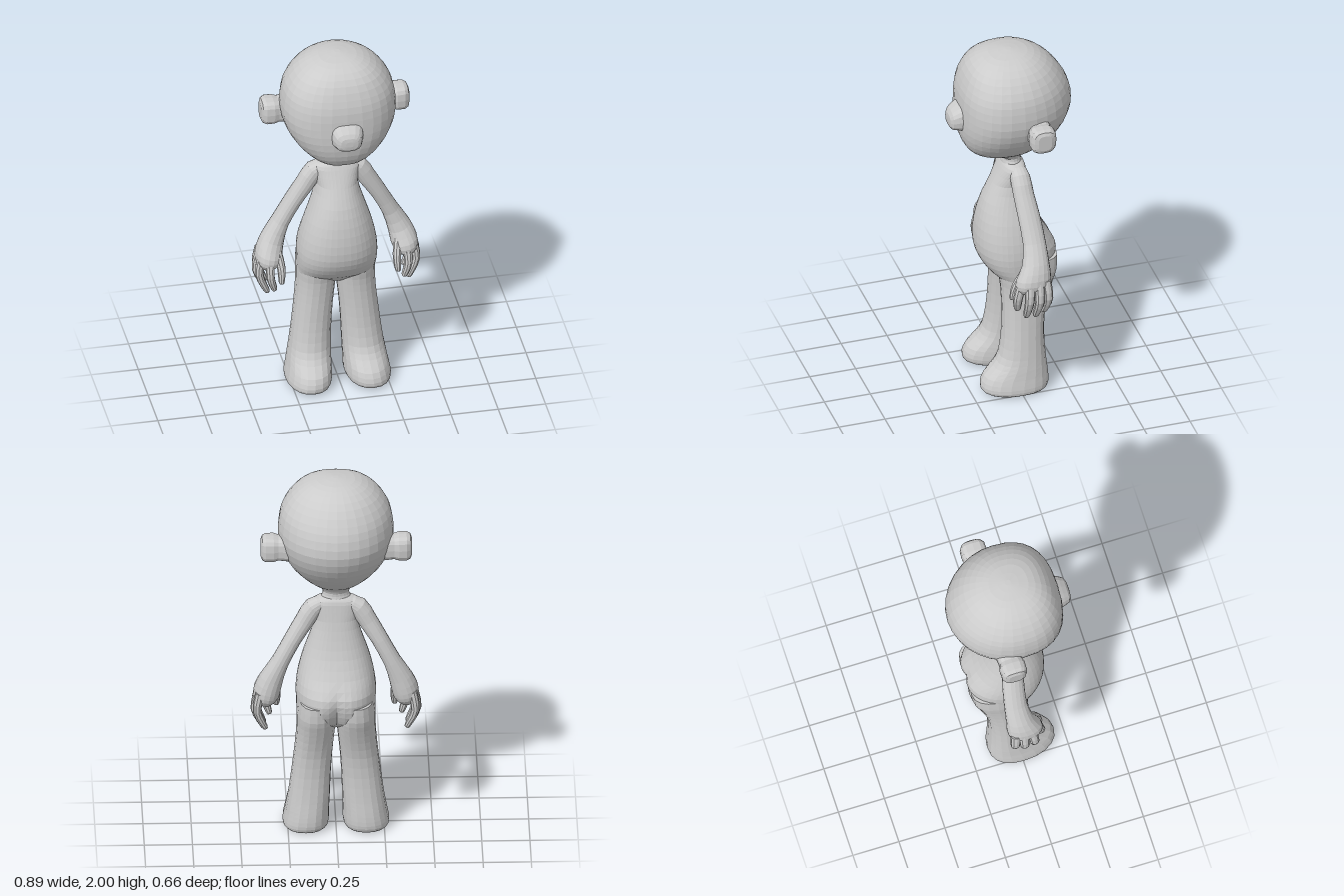
import * as THREE from 'three';

const material = new THREE.MeshStandardMaterial({ color: 0xcccccc, flatShading: true });
const V = (x, y, z) => new THREE.Vector3(x, y, z);
const X = V(1, 0, 0), Y = V(0, 1, 0), Z = V(0, 0, 1);

// Superellipse coordinate: n = 2 is round, larger is boxier
const se = (c, n) => Math.sign(c) * Math.pow(Math.abs(c), 2 / n);

// Smoothly subdivide rows of section parameters
function refine(rows, k) {
  const out = [];
  for (let i = 0; i < rows.length - 1; i++) {
    const p = rows[Math.max(i - 1, 0)], a = rows[i], b = rows[i + 1], c = rows[Math.min(i + 2, rows.length - 1)];
    for (let s = 0; s < k; s++) {
      const t = s / k;
      out.push(a.map((v, j) => {
        const cubic = 3 * (v - b[j]) + c[j] - p[j];
        const square = 2 * p[j] - 5 * v + 4 * b[j] - c[j];
        return v + 0.5 * t * (b[j] - p[j] + t * (square + t * cubic));
      }));
    }
  }
  out.push(rows[rows.length - 1]);
  return out;
}

// Skin closed rings of points with capped ends; side = -1 mirrors in x
function skin(name, rings, side = 1) {
  const n = rings[0].length, pos = [], idx = [];
  const tri = (a, b, c) => (side > 0 ? idx.push(a, b, c) : idx.push(a, c, b));
  for (const r of rings) for (const p of r) pos.push(p.x * side, p.y, p.z);
  for (let i = 0; i < rings.length - 1; i++) {
    for (let j = 0; j < n; j++) {
      const a = i * n + j, b = i * n + (j + 1) % n;
      tri(a, a + n, b);
      tri(b, a + n, b + n);
    }
  }
  for (const end of [0, rings.length - 1]) {
    const c = V(0, 0, 0);
    rings[end].forEach((p) => c.addScaledVector(p, 1 / n));
    const k = pos.length / 3, o = end * n;
    pos.push(c.x * side, c.y, c.z);
    for (let j = 0; j < n; j++) {
      const a = o + j, b = o + (j + 1) % n;
      if (end) tri(k, b, a); else tri(k, a, b);
    }
  }
  const g = new THREE.BufferGeometry();
  g.setAttribute('position', new THREE.Float32BufferAttribute(pos, 3));
  g.setIndex(idx);
  g.computeVertexNormals();
  const mesh = new THREE.Mesh(g, material);
  mesh.name = name;
  return mesh;
}

// Ring in the plane of u and v around a centre
function ring(c, u, v, a, b, n, power) {
  return Array.from({ length: n }, (_, j) => {
    const t = (j / n) * Math.PI * 2;
    return c.clone().addScaledVector(u, a * se(Math.cos(t), power)).addScaledVector(v, b * se(Math.sin(t), power));
  });
}

// Upright form: rows are [y, centre x, half width, front z, back z, z of widest point]
function upright(name, rows, { n = 28, front = 2, back = 2, side = 1, shape } = {}) {
  const rings = refine(rows, 2).map(([y, cx, w, zf, zb, zm]) =>
    Array.from({ length: n }, (_, j) => {
      const t = (j / n) * Math.PI * 2, s = Math.sin(t), pw = s > 0 ? front : back;
      const p = V(cx + w * se(Math.cos(t), pw), y, zm + (s > 0 ? zf - zm : zm - zb) * se(s, pw));
      if (shape) shape(p, s);
      return p;
    }));
  return skin(name, rings, side);
}

// Limb along a path: rows are [x, y, z, half width, half depth]
function limb(name, rows, side, n, k) {
  const r = refine(rows, k);
  const rings = r.map(([x, y, z, a, b], i) => {
    const p = r[Math.max(i - 1, 0)], q = r[Math.min(i + 1, r.length - 1)];
    const t = V(q[0] - p[0], q[1] - p[1], 0).normalize();
    return ring(V(x, y, z), V(t.y, -t.x, 0), Z, a, b, n, 2.2);
  });
  return skin(name, rings, side);
}

export function createModel() {
  const model = new THREE.Group();
  model.name = 'character';

  // Round head with a flatter face, a full jaw and a flattened crown
  model.add(upright('head', [
    [1.355, 0, 0.07, 0.045, -0.07, 0],
    [1.38, 0, 0.088, 0.1, -0.085, 0],
    [1.41, 0, 0.13, 0.185, -0.135, 0],
    [1.45, 0, 0.178, 0.235, -0.185, 0],
    [1.51, 0, 0.233, 0.263, -0.245, 0],
    [1.59, 0, 0.278, 0.275, -0.3, 0],
    [1.68, 0, 0.3, 0.274, -0.328, 0],
    [1.77, 0, 0.294, 0.268, -0.315, 0],
    [1.84, 0, 0.274, 0.25, -0.282, 0],
    [1.91, 0, 0.228, 0.218, -0.23, 0],
    [1.96, 0, 0.168, 0.17, -0.168, 0],
    [1.988, 0, 0.1, 0.105, -0.1, 0],
    [2.0, 0, 0.015, 0.015, -0.015, 0],
  ], { n: 32, front: 2.5 }));

  // Nose: rows are [z, y, half width, half height]
  const nose = [[0.2, 1.642, 0.09, 0.085], [0.265, 1.64, 0.085, 0.075], [0.29, 1.635, 0.077, 0.064],
    [0.315, 1.628, 0.066, 0.052], [0.328, 1.625, 0.046, 0.034], [0.331, 1.625, 0.02, 0.015]];
  model.add(skin('nose', nose.map(([z, y, w, h]) => ring(V(0, y, z), Y, X, h, w, 16, 2.8))));

  model.add(upright('neck', [
    [1.28, 0, 0.1, 0.045, -0.072, -0.01],
    [1.32, 0, 0.078, 0.04, -0.066, -0.01],
    [1.35, 0, 0.068, 0.04, -0.063, -0.01],
    [1.39, 0, 0.09, 0.08, -0.085, 0],
  ], { n: 20 }));

  // Torso with a full belly; the seat is split by a shallow groove
  model.add(upright('torso', [
    [0.6, 0, 0.12, 0.03, -0.13, -0.04],
    [0.645, 0, 0.195, 0.078, -0.195, -0.03],
    [0.68, 0, 0.204, 0.118, -0.22, -0.02],
    [0.74, 0, 0.207, 0.158, -0.243, 0],
    [0.81, 0, 0.208, 0.18, -0.24, 0],
    [0.9, 0, 0.195, 0.182, -0.185, 0],
    [1.0, 0, 0.168, 0.168, -0.14, 0],
    [1.1, 0, 0.135, 0.14, -0.112, -0.01],
    [1.2, 0, 0.11, 0.095, -0.092, -0.02],
    [1.29, 0, 0.125, 0.052, -0.08, -0.02],
    [1.315, 0, 0.105, 0.038, -0.07, -0.018],
    [1.325, 0, 0.07, 0.03, -0.06, -0.015],
  ], {
    n: 40, front: 2.2, back: 2.3,
    shape: (p, s) => {
      if (s < 0 && p.y < 0.88) p.z += 0.03 * Math.exp(-((p.x / 0.04) ** 2)) * Math.min(1, (0.88 - p.y) / 0.15);
    },
  }));

  for (const side of [1, -1]) {
    const label = side > 0 ? 'left' : 'right';

    // Flared leg running into a foot
    model.add(upright(label + 'Leg', [
      [0.005, 0.158, 0.1, 0.165, -0.135, 0],
      [0.02, 0.158, 0.117, 0.193, -0.155, 0],
      [0.05, 0.155, 0.12, 0.2, -0.162, 0],
      [0.1, 0.15, 0.115, 0.18, -0.16, -0.01],
      [0.15, 0.145, 0.112, 0.13, -0.155, -0.02],
      [0.21, 0.139, 0.108, 0.095, -0.15, -0.03],
      [0.32, 0.13, 0.103, 0.076, -0.146, -0.035],
      [0.44, 0.119, 0.1, 0.07, -0.155, -0.04],
      [0.54, 0.109, 0.1, 0.07, -0.18, -0.04],
      [0.62, 0.103, 0.102, 0.075, -0.207, -0.04],
      [0.68, 0.102, 0.103, 0.085, -0.226, -0.04],
      [0.76, 0.1, 0.095, 0.085, -0.23, -0.04],
    ], { n: 20, front: 2.2, back: 2.4, side }));

    // Arm ending in a broad palm
    const arm = new THREE.Group();
    arm.name = label + 'Arm';
    arm.add(limb(label + 'ArmAndPalm', [
      [0.06, 1.295, -0.025, 0.028, 0.04],
      [0.115, 1.265, -0.028, 0.05, 0.052],
      [0.165, 1.185, -0.032, 0.049, 0.054],
      [0.225, 1.085, -0.042, 0.044, 0.058],
      [0.29, 0.96, -0.05, 0.046, 0.06],
      [0.335, 0.86, -0.042, 0.062, 0.072],
      [0.357, 0.79, -0.025, 0.07, 0.092],
      [0.365, 0.745, -0.02, 0.062, 0.09],
      [0.37, 0.715, -0.02, 0.035, 0.065],
    ], side, 18, 2));

    // Curled fingers and thumb: [knuckle, bend, tip]
    const fingers = [
      [[0.36, 0.79, 0.035], [0.365, 0.69, 0.062], [0.342, 0.605, 0.06]],
      [[0.395, 0.79, 0.005], [0.415, 0.685, 0.015], [0.372, 0.572, 0.02]],
      [[0.4, 0.79, -0.04], [0.421, 0.685, -0.04], [0.372, 0.57, -0.03]],
      [[0.395, 0.79, -0.08], [0.41, 0.69, -0.088], [0.365, 0.585, -0.076]],
      [[0.325, 0.83, 0.0], [0.306, 0.735, 0.05], [0.308, 0.65, 0.075]],
    ];
    fingers.forEach(([a, b, c], i) => {
      const near = b.map((v, j) => v + (c[j] - v) * 0.88);
      arm.add(limb(label + (i < 4 ? 'Finger' + (i + 1) : 'Thumb'), [
        [...a, 0.025, 0.027], [...b, 0.022, 0.025], [...near, 0.016, 0.018], [...c, 0.005, 0.006],
      ], side, 10, 3));
    });
    model.add(arm);

    // Blocky ear: rows are [x, half height, half depth]
    const ear = [[0.25, 0.068, 0.066], [0.3, 0.062, 0.062], [0.325, 0.069, 0.07],
      [0.365, 0.07, 0.068], [0.384, 0.062, 0.055], [0.392, 0.045, 0.036]];
    const earRings = ear.map(([x, h, d]) => ring(V(x, 1.634, -0.078), Z, Y, d, h, 16, 3.2));
    model.add(skin(label + 'Ear', earRings, side));
  }
  return model;
}
